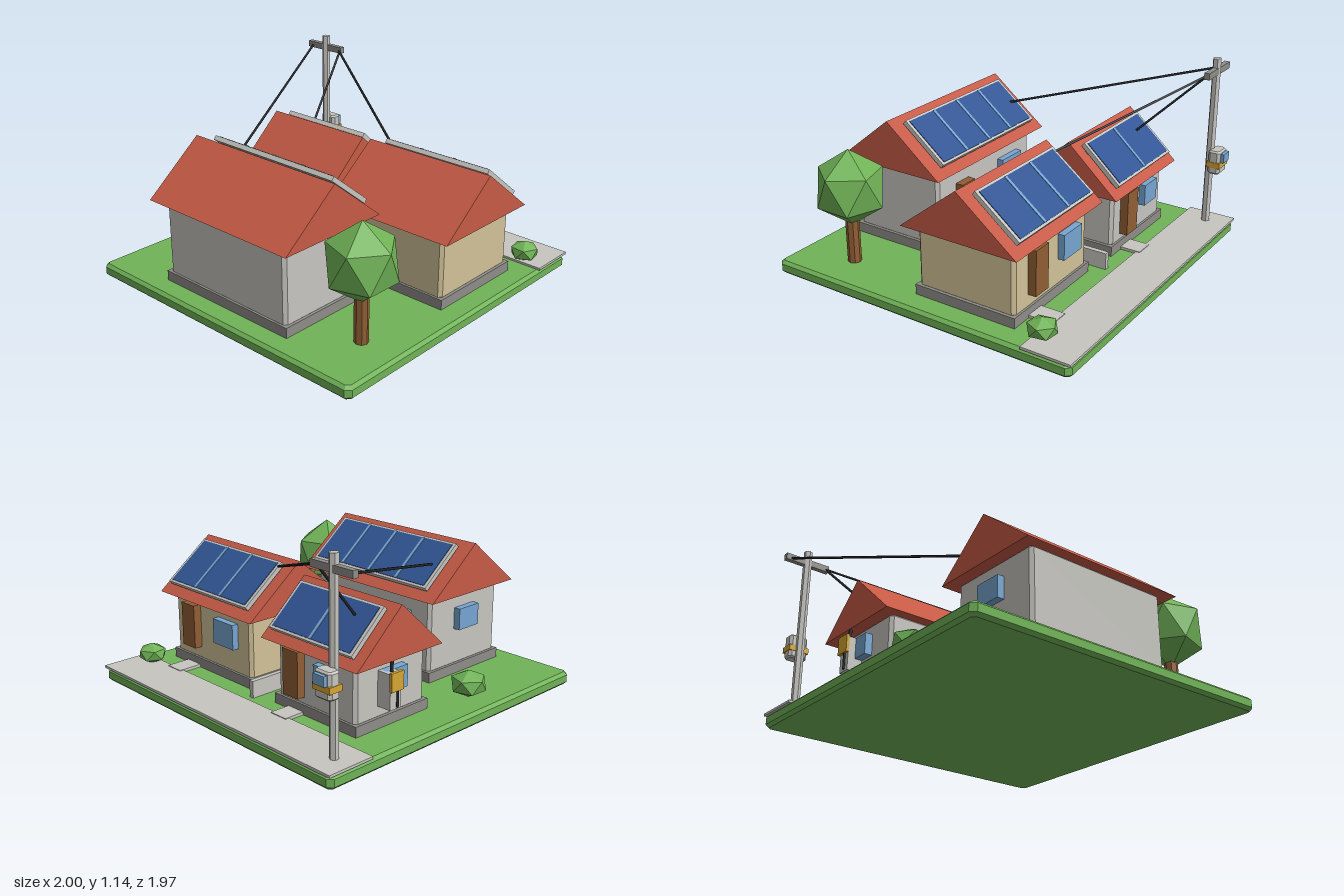
import * as THREE from 'three';

const mat = (name, color, extra = {}) => new THREE.MeshStandardMaterial({ name, color, ...extra });

export function createModel() {
  const model = new THREE.Group();
  model.name = 'solarVillage';

  const green = mat('leaf green', 0x70b357);
  const red = mat('roof red', 0xc65a46);
  const pale = mat('pale grey', 0xc6c5c0);
  const grey = mat('mid grey', 0x8f8d89);
  const tan = mat('tan', 0xd2c298);
  const navy = mat('panel blue', 0x315594);
  const sky = mat('glass blue', 0x76a6d2);
  const brown = mat('wood brown', 0x8f5d34);
  const yellow = mat('amber', 0xd6a530);
  const black = mat('cable black', 0x26272b);

  const add = (parent, name, geometry, material, x = 0, y = 0, z = 0) => {
    const mesh = new THREE.Mesh(geometry, material);
    mesh.name = name;
    mesh.position.set(x, y, z);
    parent.add(mesh);
    return mesh;
  };

  // Box given by its limits
  const box = (parent, name, material, [x0, x1], [y0, y1], [z0, z1]) =>
    add(parent, name, new THREE.BoxGeometry(x1 - x0, y1 - y0, z1 - z0), material,
      (x0 + x1) / 2, (y0 + y1) / 2, (z0 + z1) / 2);

  // Box given by its limits, with every edge chamfered by b
  const chamferBox = (parent, name, material, [x0, x1], [y0, y1], [z0, z1], b) => {
    const w = (x1 - x0) / 2, d = (z1 - z0) / 2;
    const k = w - b, m = d - b;
    const shape = new THREE.Shape([
      [k, -m + b], [k, m - b], [k - b, m], [b - k, m],
      [-k, m - b], [-k, b - m], [b - k, -m], [k - b, -m],
    ].map(([x, y]) => new THREE.Vector2(x, y)));
    const geometry = new THREE.ExtrudeGeometry(shape, {
      depth: y1 - y0 - 2 * b, bevelEnabled: true, bevelSegments: 1, bevelSize: b, bevelThickness: b,
    });
    geometry.rotateX(-Math.PI / 2);
    return add(parent, name, geometry, material, (x0 + x1) / 2, y0 + b, (z0 + z1) / 2);
  };

  // Faceted ball with a vertex at the top
  const foliage = (parent, name, r, ry, x, y, z, turn) => {
    const geometry = new THREE.IcosahedronGeometry(1, 0);
    geometry.rotateX(-Math.atan((1 + Math.sqrt(5)) / 2));
    geometry.rotateY(turn);
    geometry.scale(r, ry, r);
    geometry.computeVertexNormals();
    return add(parent, name, geometry, green, x, y, z);
  };

  // Straight cylinder between two points
  const rod = (parent, name, material, from, to, r) => {
    const a = new THREE.Vector3(...from), b = new THREE.Vector3(...to);
    const dir = b.clone().sub(a);
    const mesh = add(parent, name, new THREE.CylinderGeometry(r, r, dir.length(), 6), material);
    mesh.position.copy(a).add(b).multiplyScalar(0.5);
    mesh.quaternion.setFromUnitVectors(new THREE.Vector3(0, 1, 0), dir.normalize());
    return mesh;
  };

  // Ground, pavement, door paths and dividing wall
  chamferBox(model, 'lawn', green, [-0.97, 0.995], [0, 0.08], [-0.985, 0.98], 0.018);
  box(model, 'pavement', pale, [-0.97, 0.995], [0.078, 0.093], [-0.99, -0.695]);
  box(model, 'leftPath', pale, [-0.345, -0.225], [0.078, 0.097], [-0.72, -0.575]);
  box(model, 'rightPath', pale, [0.605, 0.725], [0.078, 0.097], [-0.72, -0.555]);
  box(model, 'gardenWall', pale, [0.015, 0.045], [0.078, 0.18], [-0.645, -0.15]);

  // House: x and z centre, half width and half depth of the roof, heights, panel count
  const house = ({ name, x, z, w, h, eave, ridge, wall, panels, doorX, doorTop, winX, winW, winY }) => {
    const g = new THREE.Group();
    g.name = name;
    model.add(g);
    const ww = w - 0.07, wd = h - 0.06, back = z - wd;
    box(g, 'plinth', grey, [x - ww - 0.017, x + ww + 0.017], [0.078, 0.14], [back - 0.012, z + wd + 0.012]);
    chamferBox(g, 'walls', wall, [x - ww, x + ww], [0.13, eave + 0.004], [back, z + wd], 0.012);

    // Solid gable roof
    const rise = ridge - eave;
    const gable = new THREE.Shape([
      new THREE.Vector2(-h, 0), new THREE.Vector2(h, 0), new THREE.Vector2(0, rise)]);
    const roof = new THREE.ExtrudeGeometry(gable, { depth: 2 * w, bevelEnabled: false });
    roof.translate(0, 0, -w);
    roof.rotateY(Math.PI / 2);
    add(g, 'roof', roof, red, x, eave, z);

    // Door and window on the back wall
    box(g, 'door', brown, [doorX - 0.06, doorX + 0.06], [doorTop - 0.265, doorTop], [back - 0.05, back + 0.01]);
    box(g, 'backWindow', sky, [winX - winW / 2, winX + winW / 2], winY, [back - 0.04, back + 0.01]);

    // Solar array lying along the back slope
    const solar = new THREE.Group();
    solar.name = 'solarArray';
    solar.position.set(x, (eave + ridge) / 2, z - h / 2);
    solar.rotation.x = -Math.atan2(rise, h);
    g.add(solar);
    const half = w * 0.857, run = Math.hypot(h, rise) * 0.365;
    box(solar, 'panelFrame', pale, [-half, half], [0.018, 0.046], [-run, run]);
    box(solar, 'panelCells', navy, [-half + 0.02, half - 0.02], [0.044, 0.05], [-run + 0.014, run - 0.014]);
    for (let i = 1; i < panels; i++) {
      const px = (-1 + 2 * i / panels) * (half - 0.02);
      box(solar, 'panelDivider', sky, [px - 0.009, px + 0.009], [0.046, 0.053], [-run + 0.014, run - 0.014]);
    }
    for (const s of [-1, 1]) {
      box(solar, 'panelRail', grey, [-half + 0.02, half - 0.02], [-0.004, 0.02],
        [s * run * 0.7 - 0.012, s * run * 0.7 + 0.012]);
    }
    return g;
  };

  const front = house({
    name: 'frontHouse', x: -0.035, z: 0.54, w: 0.535, h: 0.36, eave: 0.58, ridge: 0.87, wall: pale,
    panels: 4, doorX: 0.2, doorTop: 0.475, winX: -0.26, winW: 0.2, winY: [0.335, 0.485],
  });
  house({
    name: 'rightHouse', x: 0.485, z: -0.25, w: 0.425, h: 0.37, eave: 0.5, ridge: 0.79, wall: tan,
    panels: 3, doorX: 0.655, doorTop: 0.475, winX: 0.335, winW: 0.18, winY: [0.29, 0.44],
  });
  const left = house({
    name: 'leftHouse', x: -0.43, z: -0.32, w: 0.37, h: 0.322, eave: 0.46, ridge: 0.75, wall: pale,
    panels: 2, doorX: -0.285, doorTop: 0.445, winX: -0.53, winW: 0.15, winY: [0.28, 0.41],
  });
  box(front, 'sideWindow', sky, [-0.542, -0.49], [0.355, 0.485], [0.455, 0.625]);
  box(left, 'sideWindow', sky, [-0.775, -0.72], [0.275, 0.4], [-0.4, -0.24]);

  // Meter box on the left house
  box(left, 'meterBox', pale, [-0.82, -0.725], [0.2, 0.4], [-0.42, -0.34]);
  box(left, 'meterCover', yellow, [-0.836, -0.818], [0.305, 0.41], [-0.425, -0.335]);
  rod(left, 'meterCable', black, [-0.79, 0.39, -0.38], [-0.79, 0.46, -0.38], 0.01);
  rod(left, 'meterConduit', black, [-0.825, 0.21, -0.37], [-0.825, 0.31, -0.37], 0.007);

  // Utility pole with crossarm and transformer
  const pole = new THREE.Group();
  pole.name = 'utilityPole';
  model.add(pole);
  const shaft = new THREE.CylinderGeometry(0.026, 0.026, 1.055, 6).toNonIndexed();
  shaft.computeVertexNormals();
  add(pole, 'shaft', shaft, pale, -0.853, 0.608, -0.848);
  box(pole, 'crossarm', grey, [-1, -0.71], [1.04, 1.08], [-0.868, -0.834]);
  chamferBox(pole, 'transformer', pale, [-0.913, -0.797], [0.427, 0.575], [-0.932, -0.856], 0.01);
  box(pole, 'transformerBand', yellow, [-0.917, -0.793], [0.47, 0.505], [-0.936, -0.853]);
  box(pole, 'transformerPanel', sky, [-0.893, -0.817], [0.505, 0.56], [-0.952, -0.93]);

  // Overhead cables to each roof
  [
    [[-0.965, 1.055, -0.84], [-0.425, 0.757, 0.335]],
    [[-0.73, 1.055, -0.838], [0.125, 0.765, -0.35]],
    [[-0.725, 1.055, -0.842], [-0.605, 0.67, -0.455]],
  ].forEach(([a, b]) => rod(model, 'cable', black, a, b, 0.0075));

  // Tree and bushes
  const trunk = new THREE.CylinderGeometry(0.04, 0.04, 0.3, 8).toNonIndexed();
  trunk.computeVertexNormals();
  add(model, 'treeTrunk', trunk, brown, 0.75, 0.225, 0.61);
  foliage(model, 'treeCrown', 0.212, 0.23, 0.75, 0.54, 0.61, 0.3);
  foliage(model, 'leftBush', 0.11, 0.08, -0.797, 0.16, 0.242, 0.9);
  foliage(model, 'rightBush', 0.09, 0.063, 0.857, 0.147, -0.74, 0.5);

  return model;
}
